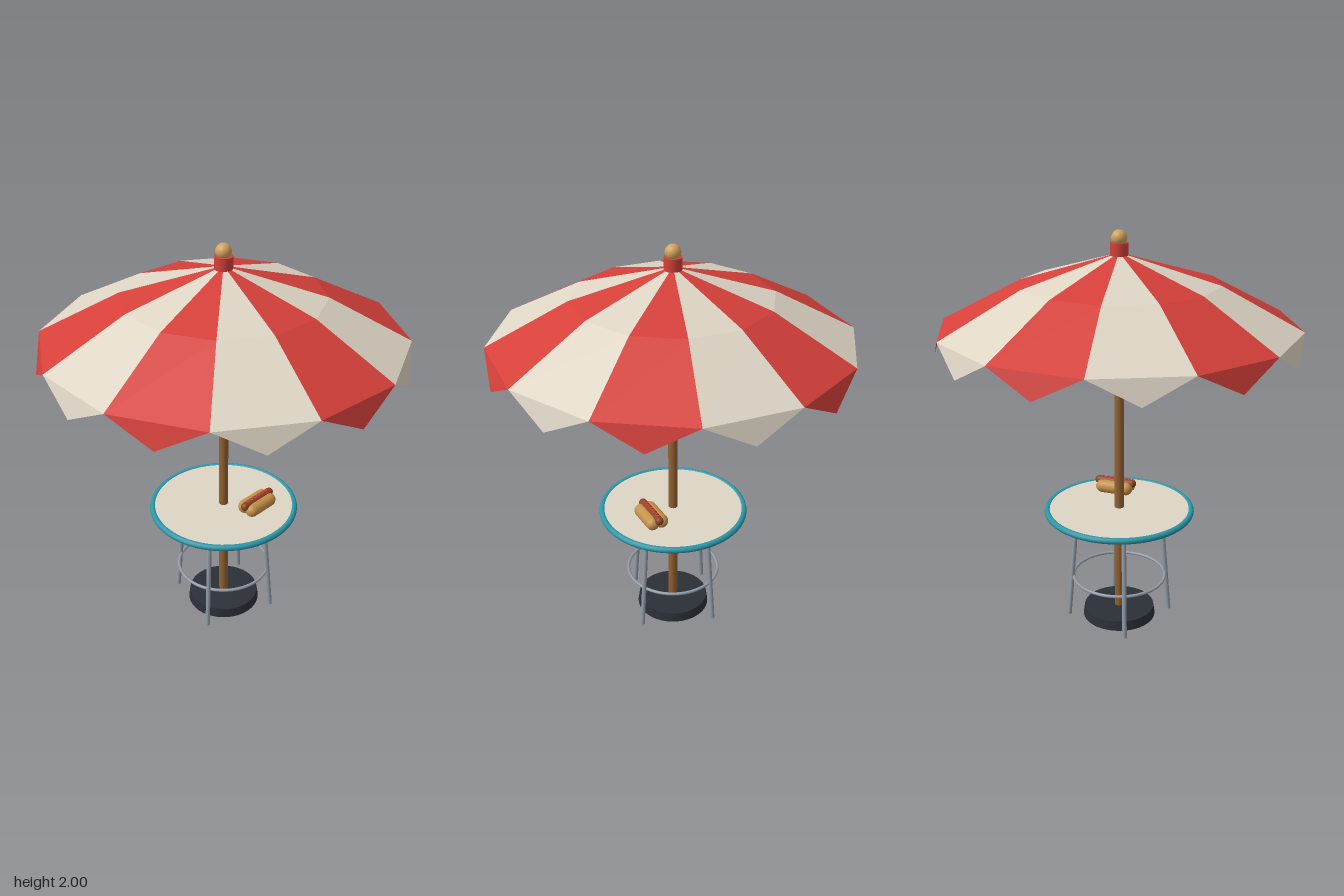
import * as THREE from 'three';

const paint = (name, color, side = THREE.FrontSide) => {
  const m = new THREE.MeshStandardMaterial({ color, side });
  m.name = name;
  return m;
};

export function createModel() {
  const model = new THREE.Group();
  model.name = 'parasolTable';
  const red = paint('red', 0xd6403a, THREE.DoubleSide);
  const cream = paint('cream', 0xded5c5, THREE.DoubleSide);
  const wood = paint('wood', 0x936232);
  const tan = paint('tan', 0xd2a35c);
  const bread = paint('bread', 0xc6914a);
  const steel = paint('steel', 0x939ca6);
  const teal = paint('teal', 0x2a97a8);
  const dark = paint('charcoal', 0x2b3037);
  const meat = paint('sausage', 0x8a4324);

  const add = (name, geometry, material, parent = model) => {
    const mesh = new THREE.Mesh(geometry, material);
    mesh.name = name;
    parent.add(mesh);
    return mesh;
  };
  // Straight round bar between two points
  const bar = (name, a, b, r, material) => {
    const d = b.clone().sub(a);
    const mesh = add(name, new THREE.CylinderGeometry(r, r, d.length(), 12), material);
    mesh.position.copy(a).add(b).multiplyScalar(0.5);
    mesh.quaternion.setFromUnitVectors(new THREE.Vector3(0, 1, 0), d.normalize());
  };
  const polar = (deg, r, y) => {
    const t = THREE.MathUtils.degToRad(deg);
    return new THREE.Vector3(Math.cos(t) * r, y, Math.sin(t) * r);
  };
  const lathe = (pts) => new THREE.LatheGeometry(pts.map(([r, y]) => new THREE.Vector2(r, y)), 48);

  // Weighted base and pole
  const base = new THREE.CylinderGeometry(0.18, 0.187, 0.05, 40);
  add('base', base, dark).position.y = 0.029;
  bar('pole', new THREE.Vector3(0, 0, 0), new THREE.Vector3(0, 1.9, 0), 0.0235, wood);

  // Table top with rounded rim
  add('tableTop', lathe([[0, 0.594], [0.36, 0.594], [0.36, 0.594], [0.36, 0.616], [0.36, 0.616], [0, 0.616]]), cream);
  const rim = add('tableRim', new THREE.TorusGeometry(0.361, 0.0155, 12, 64), teal);
  rim.rotation.x = Math.PI / 2;
  rim.position.y = 0.605;

  // Splayed legs and brace ring
  for (let i = 0; i < 4; i++) {
    const a = 45 + i * 90;
    bar('leg', polar(a, 0.262, 0.012), polar(a, 0.213, 0.598), 0.0115, steel);
  }
  const ring = add('braceRing', new THREE.TorusGeometry(0.236, 0.008, 8, 48), steel);
  ring.rotation.x = Math.PI / 2;
  ring.position.y = 0.232;

  // Twelve alternating canopy panels, each with a pointed valance flap
  const rings = [[0.03, 1.887], [0.474, 1.757], [0.86, 1.555]];
  const stripes = [[], []];
  for (let i = 0; i < 12; i++) {
    const out = stripes[i % 2];
    const put = (...pts) => pts.forEach((p) => out.push(p.x, p.y, p.z));
    const a = i * 30, b = a + 30;
    for (let k = 0; k < 2; k++) {
      const [r0, y0] = rings[k], [r1, y1] = rings[k + 1];
      put(polar(a, r0, y0), polar(b, r1, y1), polar(a, r1, y1));
      put(polar(a, r0, y0), polar(b, r0, y0), polar(b, r1, y1));
    }
    put(polar(a, 0.86, 1.555), polar(b, 0.86, 1.555), polar(a + 15, 0.863, 1.442));
  }
  stripes.forEach((points, i) => {
    const g = new THREE.BufferGeometry();
    g.setAttribute('position', new THREE.Float32BufferAttribute(points, 3));
    g.computeVertexNormals();
    add(i ? 'canopyCreamPanels' : 'canopyRedPanels', g, i ? cream : red);
  });

  // Canopy ribs
  for (let i = 0; i < 6; i++) {
    bar('rib', polar(45 + i * 60, 0, 1.64), polar(45 + i * 60, 0.775, 1.562), 0.009, steel);
  }

  // Collar and finial ball
  add('collar', new THREE.CylinderGeometry(0.043, 0.043, 0.06, 24), red).position.y = 1.912;
  add('finial', new THREE.SphereGeometry(0.037, 24, 16), tan).position.y = 1.963;

  // Hot dog on the table
  const snack = new THREE.Group();
  snack.name = 'hotDog';
  snack.position.set(0.126, 0.617, 0.126);
  snack.rotation.y = 0.35;
  model.add(snack);
  const roll = (name, r, length, y, z, material) => {
    const m = add(name, new THREE.CapsuleGeometry(r, length - 2 * r, 8, 16), material, snack);
    m.rotation.z = Math.PI / 2;
    m.position.set(0, y, z);
  };
  roll('bunHalf', 0.034, 0.195, 0.037, 0.024, bread);
  roll('bunHalf', 0.034, 0.195, 0.037, -0.024, bread);
  roll('sausage', 0.021, 0.222, 0.06, 0, meat);
  const wave = [];
  for (let i = 0; i <= 12; i++) {
    wave.push(new THREE.Vector3(-0.078 + i * 0.013, 0.08, i % 2 ? 0.008 : -0.008));
  }
  add('sauce', new THREE.TubeGeometry(new THREE.CatmullRomCurve3(wave), 60, 0.004, 6), red, snack);

  return model;
}
